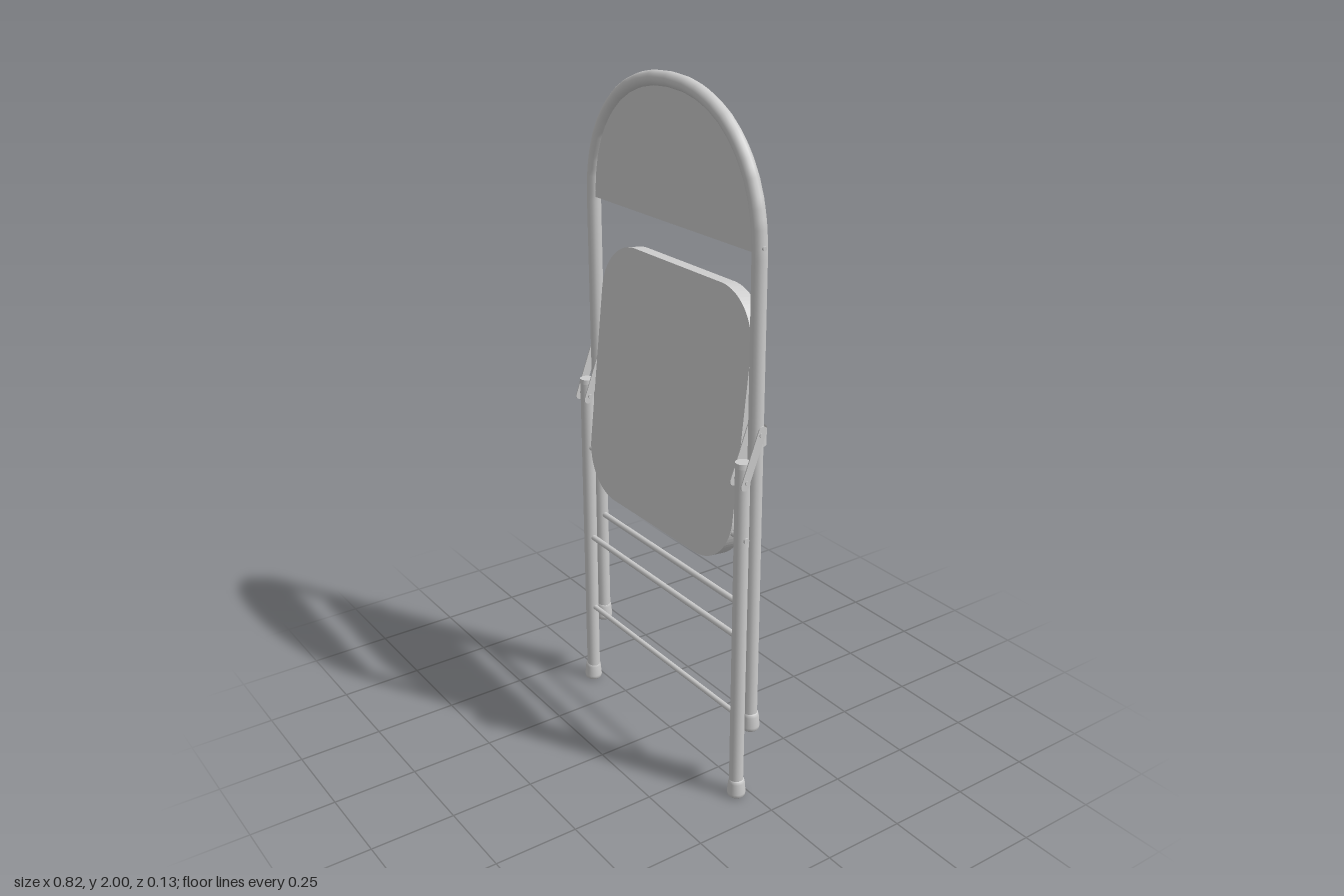
import * as THREE from 'three';

const X = 0.382, R = 0.0205, LEG_Z = 0.037;
const mat = new THREE.MeshStandardMaterial({ color: 0xcccccc });
const sheetMat = new THREE.MeshStandardMaterial({ color: 0xcccccc, side: THREE.DoubleSide });

export function createModel() {
  const root = new THREE.Group();
  root.name = 'foldedChair';

  const add = (name, geo, x = 0, y = 0, z = 0, material = mat) => {
    const m = new THREE.Mesh(geo, material);
    m.name = name;
    m.position.set(x, y, z);
    root.add(m);
    return m;
  };
  const rod = (name, r, len, x, y, z) => {
    const m = add(name, new THREE.CylinderGeometry(r, r, len, 12), x, y, z);
    m.rotation.z = Math.PI / 2;
    return m;
  };
  // Upper half of a slightly squared ellipse, running from +x to -x
  const archPoints = (rx, ry, y0, n) => Array.from({ length: n + 1 }, (_, i) => {
    const a = (i / n) * Math.PI, c = Math.cos(a), s = Math.max(0, Math.sin(a));
    return new THREE.Vector2(Math.sign(c) * rx * Math.abs(c) ** 0.91, y0 + ry * s ** 0.91);
  });
  const leanZ = (y) => -0.008 * (2 - y) / 1.8;

  // Main frame: one bent tube forming the back and the rear legs
  const arch = archPoints(X, 0.379, 1.6, 20);
  const path = new THREE.CurvePath();
  const pts = [new THREE.Vector2(X, 0.23), ...arch, new THREE.Vector2(-X, 0.23)]
    .map((p) => new THREE.Vector3(p.x, p.y, leanZ(p.y)));
  for (let i = 1; i < pts.length; i++) path.add(new THREE.LineCurve3(pts[i - 1], pts[i]));
  add('mainFrame', new THREE.TubeGeometry(path, 160, R, 14, false));

  // Sheet metal back rest filling the arch
  const rest = new THREE.Shape(archPoints(X - 0.01, 0.37, 1.603, 32));
  add('backRest', new THREE.ExtrudeGeometry(rest, { depth: 0.012, bevelEnabled: false }), 0, 0, -0.007);

  // Seat pan: front skin with a rim open to the back
  const roundedRect = (w, h, r, Type = THREE.Shape) => {
    const s = new Type();
    s.moveTo(-w + r, -h);
    s.lineTo(w - r, -h);
    s.absarc(w - r, -h + r, r, -Math.PI / 2, 0);
    s.absarc(w - r, h - r, r, 0, Math.PI / 2);
    s.absarc(-w + r, h - r, r, Math.PI / 2, Math.PI);
    s.absarc(-w + r, -h + r, r, Math.PI, Math.PI * 1.5);
    return s;
  };
  const seat = new THREE.Group();
  seat.name = 'seat';
  seat.position.set(0, 1.1, 0.02);
  seat.rotation.x = -0.105;
  const seatPart = (name, shape, depth, z) => {
    const m = new THREE.Mesh(new THREE.ExtrudeGeometry(shape, { depth, bevelEnabled: false, curveSegments: 10 }), mat);
    m.name = name;
    m.position.z = z;
    seat.add(m);
  };
  seatPart('seatSkin', roundedRect(0.352, 0.385, 0.15), 0.01, -0.01);
  const rim = roundedRect(0.352, 0.385, 0.15);
  rim.holes.push(roundedRect(0.338, 0.371, 0.136, THREE.Path));
  seatPart('seatRim', rim, 0.034, -0.044);
  root.add(seat);

  // Crossbars
  rod('rearLegBar', 0.009, 2 * X, 0, 0.588, leanZ(0.588));
  rod('frontLegUpperBar', 0.009, 2 * X, 0, 0.52, LEG_Z);
  rod('frontLegLowerBar', 0.008, 2 * X, 0, 0.27, LEG_Z);

  // Rubber foot and hinge link outlines
  const footGeo = new THREE.LatheGeometry(
    [[0, 0], [0.021, 0], [0.026, 0.005], [0.027, 0.014], [0.024, 0.046], [0.022, 0.054], [0.019, 0.056]]
      .map(([x, y]) => new THREE.Vector2(x, y)), 18);
  const link = roundedRect(0.013, 0.09, 0.0125);
  const linkGeo = new THREE.ExtrudeGeometry(link, { depth: 0.003, bevelEnabled: false, curveSegments: 6 });
  linkGeo.translate(0, 0, -0.0015).rotateY(Math.PI / 2);

  for (const s of [1, -1]) {
    const side = s > 0 ? 'left' : 'right';
    // Front leg with a closed top
    add(side + 'FrontLeg', new THREE.CylinderGeometry(R, R, 1.01, 18), s * X, 0.535, LEG_Z);
    add(side + 'FrontLegCap', new THREE.CylinderGeometry(0.021, 0.0225, 0.014, 18), s * X, 1.043, LEG_Z);
    add(side + 'FrontFoot', footGeo, s * (X + 0.002), 0, LEG_Z);
    add(side + 'RearFoot', footGeo, s * (X + 0.002), 0.21, leanZ(0.21));

    // Hinge: slanted plates either side of the tubes, joined behind the frame
    for (const dx of [-0.0225, 0.0245]) {
      const p = add(side + 'HingePlate', linkGeo, s * (X + dx), 1.063, 0.021);
      p.rotation.x = -0.36;
    }
    add(side + 'HingeWrap', new THREE.CylinderGeometry(0.0245, 0.0245, 0.05, 14, 1, true, Math.PI / 2, Math.PI),
      s * (X + 0.001), 1.115, -0.008, sheetMat);
    rod(side + 'LowerHingeRivet', 0.007, 0.058, s * X, 1.0, 0.042);
    rod(side + 'UpperHingeRivet', 0.007, 0.058, s * X, 1.125, -0.002);

    // Seat pivot pin, its outer rivet head and the back rest rivet
    rod(side + 'SeatPivot', 0.009, 0.06, s * 0.37, 0.828, LEG_Z);
    rod(side + 'SeatPivotHead', 0.008, 0.05, s * X, 0.828, LEG_Z);
    rod(side + 'BackRestRivet', 0.006, 0.046, s * X, 1.62, 0);
  }
  return root;
}
